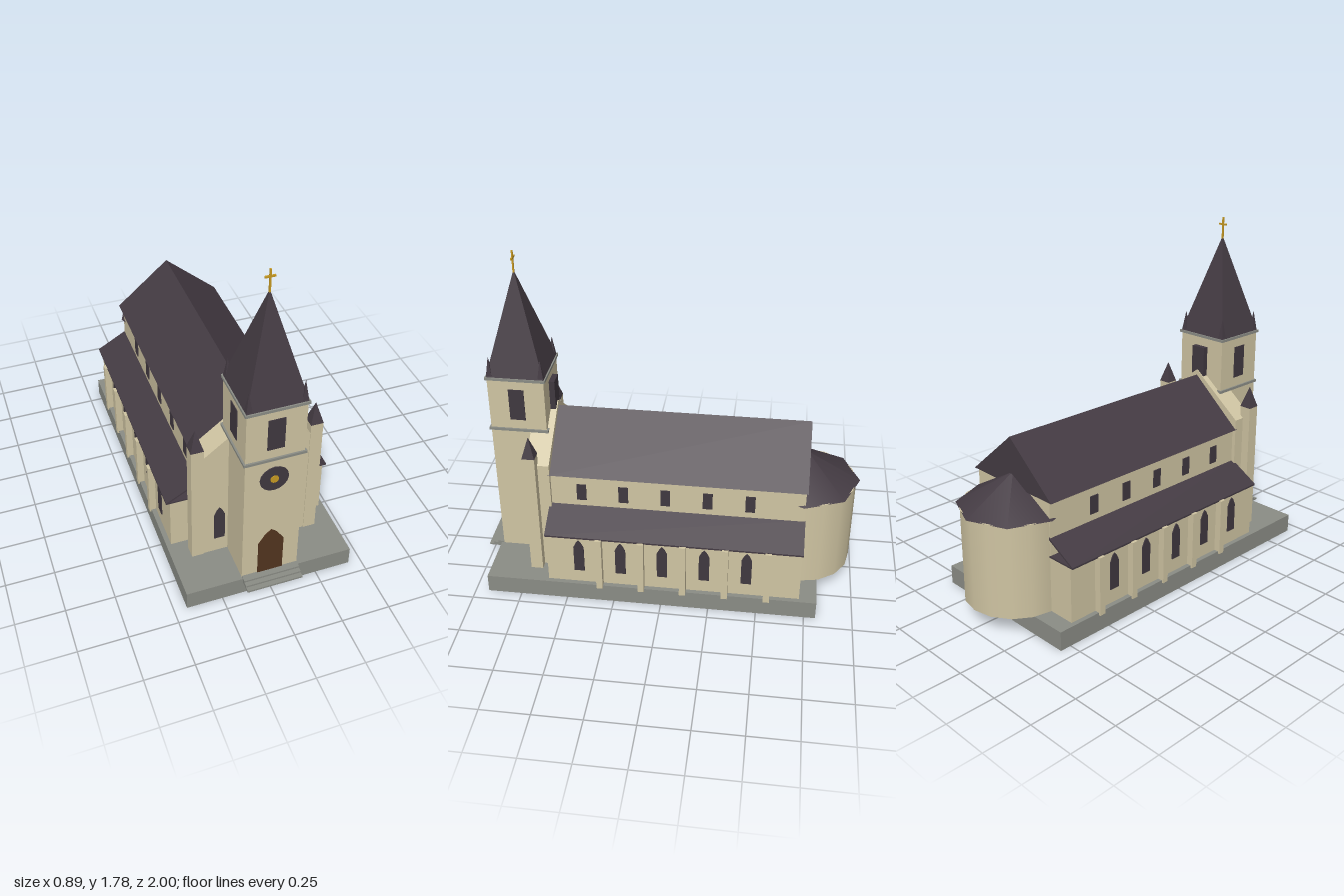
import * as THREE from 'three';

const mat = (name, color) => {
  const m = new THREE.MeshStandardMaterial({ color });
  m.name = name;
  return m;
};

export function createModel() {
  const stone = mat('sandstone', 0xcfc4a2);
  const grey = mat('grey stone', 0x8a8c85);
  const slate = mat('slate', 0x443b43);
  const glass = mat('dark glass', 0x403840);
  const wood = mat('door wood', 0x52341f);
  const gold = mat('gold', 0xc79a22);
  const church = new THREE.Group();
  church.name = 'church';

  const add = (name, geo, material, x = 0, y = 0, z = 0, ry = 0) => {
    const mesh = new THREE.Mesh(geo, material);
    mesh.name = name;
    mesh.position.set(x, y, z);
    mesh.rotation.y = ry;
    church.add(mesh);
    return mesh;
  };
  // Box given by its limits
  const box = (name, material, x0, x1, y0, y1, z0, z1) =>
    add(name, new THREE.BoxGeometry(x1 - x0, y1 - y0, z1 - z0), material,
      (x0 + x1) / 2, (y0 + y1) / 2, (z0 + z1) / 2);
  // Outline in x and y, pushed along +z
  const extrude = (points, depth) => new THREE.ExtrudeGeometry(
    new THREE.Shape(points.map(([x, y]) => new THREE.Vector2(x, y))),
    { depth, bevelEnabled: false });
  // Square, flat-sided pyramid
  const pyramid = (name, half, x, y0, y1, z) => {
    const geo = new THREE.ConeGeometry(half * Math.SQRT2, y1 - y0, 4)
      .rotateY(Math.PI / 4).toNonIndexed();
    geo.computeVertexNormals();
    return add(name, geo, slate, x, (y0 + y1) / 2, z);
  };
  // Thin plate with a pointed head
  const lancet = (w, y0, shoulder, y1) =>
    extrude([[-w, y0], [w, y0], [w, shoulder], [w * 0.45, y1 - (y1 - shoulder) * 0.3],
      [0, y1], [-w * 0.45, y1 - (y1 - shoulder) * 0.3], [-w, shoulder]], 0.008);

  // Plinth and entrance steps
  box('plinth', grey, -0.435, 0.435, 0, 0.1, -0.81, 0.93);
  for (let i = 0; i < 3; i++) {
    box('entranceStep', grey, -0.145, 0.145, 0.077 + i * 0.01, 0.087 + i * 0.01,
      0.9, 1 - i * 0.024);
  }

  // Nave with its gabled roof
  box('naveWalls', stone, -0.27, 0.27, 0.1, 0.69, -0.72, 0.6);
  add('naveRoof', extrude([[-0.292, 0.68], [0.292, 0.68], [0, 0.93]], 1.328), slate, 0, 0, -0.728);

  // Apse
  add('apseWall', new THREE.CylinderGeometry(0.266, 0.266, 0.49, 16), stone, 0, 0.345, -0.715);
  add('apseRoof', new THREE.ConeGeometry(0.285, 0.162, 8), slate, 0, 0.668, -0.715);

  // Facade gable
  add('facadeWall', extrude([[-0.29, 0.1], [0.29, 0.1], [0.29, 0.735],
    [0, 0.96], [-0.29, 0.735]], 0.12), stone, 0, 0, 0.59);

  for (const s of [-1, 1]) {
    // Aisle with an open lean-to roof
    const [a, b] = s < 0 ? [-0.41, -0.26] : [0.26, 0.41];
    box('aisleWalls', stone, a, b, 0.1, 0.395, -0.72, 0.6);
    const [c, d] = s < 0 ? [-0.43, -0.265] : [0.265, 0.43];
    box('aisleEaves', slate, c, d, 0.393, 0.401, -0.725, 0.603);
    const slab = [[0.43, 0.393], [0.43, 0.402], [0.265, 0.497], [0.265, 0.486]];
    if (s < 0) slab.reverse();
    add('aisleRoof', extrude(slab.map(([x, y]) => [s * x, y]), 1.328), slate, 0, 0, -0.725);

    // Bays: aisle windows, clerestory windows and buttresses
    for (let i = 0; i < 5; i++) {
      const z = 0.43 - i * 0.218;
      add('aisleWindow', lancet(0.027, 0.175, 0.325, 0.37), glass, s * 0.407, 0, z, s * Math.PI / 2);
      box('clerestoryWindow', glass, s * 0.271 - 0.004, s * 0.271 + 0.004,
        0.53, 0.625, z - 0.025, z + 0.025);
      box('buttress', stone, s * 0.425 - 0.02, s * 0.425 + 0.02,
        0.087, 0.398, z - 0.125, z - 0.092);
    }

    // Facade turret and window
    box('turret', stone, s * 0.303 - 0.032, s * 0.303 + 0.032, 0.1, 0.8, 0.65, 0.714);
    pyramid('turretSpire', 0.033, s * 0.303, 0.8, 0.912, 0.682);
    add('facadeWindow', lancet(0.028, 0.19, 0.35, 0.4), glass, s * 0.19, 0, 0.706);

    // Tower side openings and corner pinnacles
    box('belfrySideOpening', glass, s * 0.146 - 0.004, s * 0.146 + 0.004,
      0.915, 1.09, 0.73, 0.81);
    for (const t of [-1, 1]) {
      pyramid('cornerPinnacle', 0.015, s * 0.132, 1.155, 1.262, 0.77 + t * 0.132);
    }
  }

  // Tower with string courses and spire
  box('tower', stone, -0.146, 0.146, 0.1, 1.15, 0.624, 0.916);
  for (const y of [0.855, 1.147]) {
    box('stringCourse', grey, -0.155, 0.155, y - 0.007, y + 0.007, 0.615, 0.925);
  }
  pyramid('spire', 0.148, 0, 1.154, 1.68, 0.77);
  box('belfryFrontOpening', glass, -0.042, 0.042, 0.915, 1.09, 0.912, 0.92);
  box('belfryRearOpening', glass, -0.042, 0.042, 0.915, 1.09, 0.595, 0.626);

  // Door and rose window
  add('door', lancet(0.065, 0.1, 0.31, 0.39), wood, 0, 0, 0.913);
  const disc = (r) => new THREE.CylinderGeometry(r, r, 0.008, 16).rotateX(Math.PI / 2);
  add('roseWindow', disc(0.072), glass, 0, 0.73, 0.917);
  add('roseCentre', disc(0.021), gold, 0, 0.73, 0.921);

  // Cross
  box('crossPost', gold, -0.004, 0.004, 1.665, 1.78, 0.766, 0.774);
  box('crossArm', gold, -0.025, 0.025, 1.738, 1.747, 0.766, 0.774);

  return church;
}
